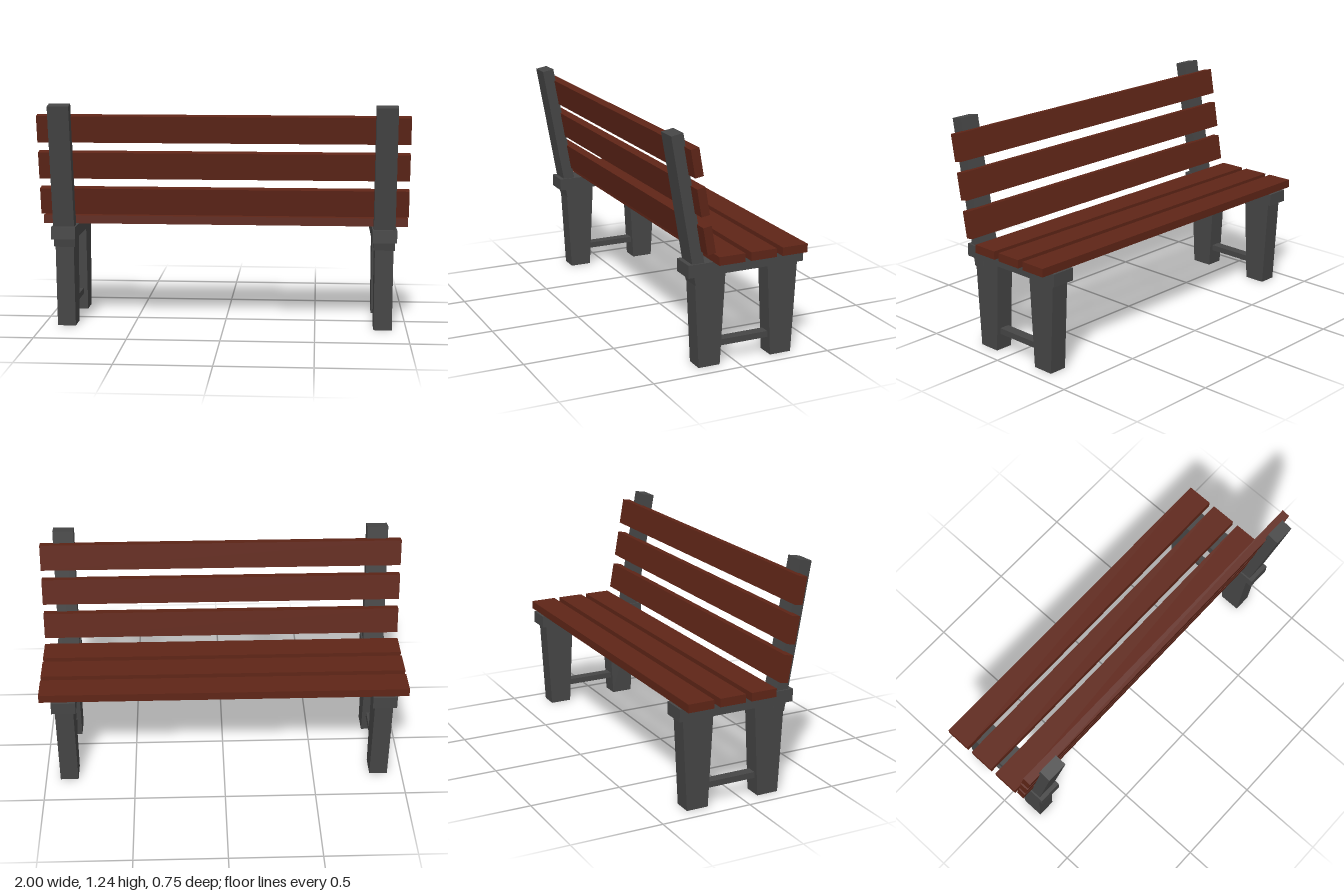
import * as THREE from 'three';

export function createModel() {
  const bench = new THREE.Group();
  bench.name = 'bench';
  const wood = new THREE.MeshStandardMaterial({ color: 0x5f2517 });
  const metal = new THREE.MeshStandardMaterial({ color: 0x464646 });

  const add = (parent, name, geometry, material, x, y, z) => {
    const mesh = new THREE.Mesh(geometry, material);
    mesh.name = name;
    mesh.position.set(x, y, z);
    parent.add(mesh);
    return mesh;
  };

  // Leg: a box whose depth narrows towards the floor
  const legHeight = 0.5, legTop = 0.173, legBottom = 0.12;
  const legGeometry = new THREE.BoxGeometry(0.1, legHeight, legTop).toNonIndexed();
  const p = legGeometry.attributes.position;
  for (let i = 0; i < p.count; i++) {
    if (p.getY(i) < 0) p.setZ(i, p.getZ(i) * legBottom / legTop);
  }
  legGeometry.computeVertexNormals();

  // The backrest leans towards +z; the sitter faces -z
  const lean = THREE.MathUtils.degToRad(10);

  // Two end frames
  for (const side of [-1, 1]) {
    const frame = new THREE.Group();
    frame.name = side > 0 ? 'leftFrame' : 'rightFrame';
    frame.position.x = side * 0.87;
    bench.add(frame);
    add(frame, 'backLeg', legGeometry, metal, 0, legHeight / 2, 0.152);
    add(frame, 'frontLeg', legGeometry, metal, 0, legHeight / 2, -0.262);
    add(frame, 'stretcher', new THREE.BoxGeometry(0.055, 0.033, 0.33), metal, 0, 0.108, -0.055);
    add(frame, 'seatBeam', new THREE.BoxGeometry(0.132, 0.068, 0.655), metal, 0, 0.529, -0.047);
    const post = add(frame, 'backPost', new THREE.BoxGeometry(0.115, 0.791, 0.066), metal, 0, 0.842, 0.272);
    post.rotation.x = lean;
  }

  // Seat and backrest slats
  for (let i = 0; i < 3; i++) {
    add(bench, 'seatSlat', new THREE.BoxGeometry(2, 0.045, 0.145), wood, 0, 0.585, 0.07 - i * 0.179);
    const slat = add(bench, 'backSlat', new THREE.BoxGeometry(2, 0.146, 0.046), wood,
      0, 0.701 + i * 0.2, 0.198 + i * 0.0353);
    slat.rotation.x = lean;
  }
  return bench;
}
